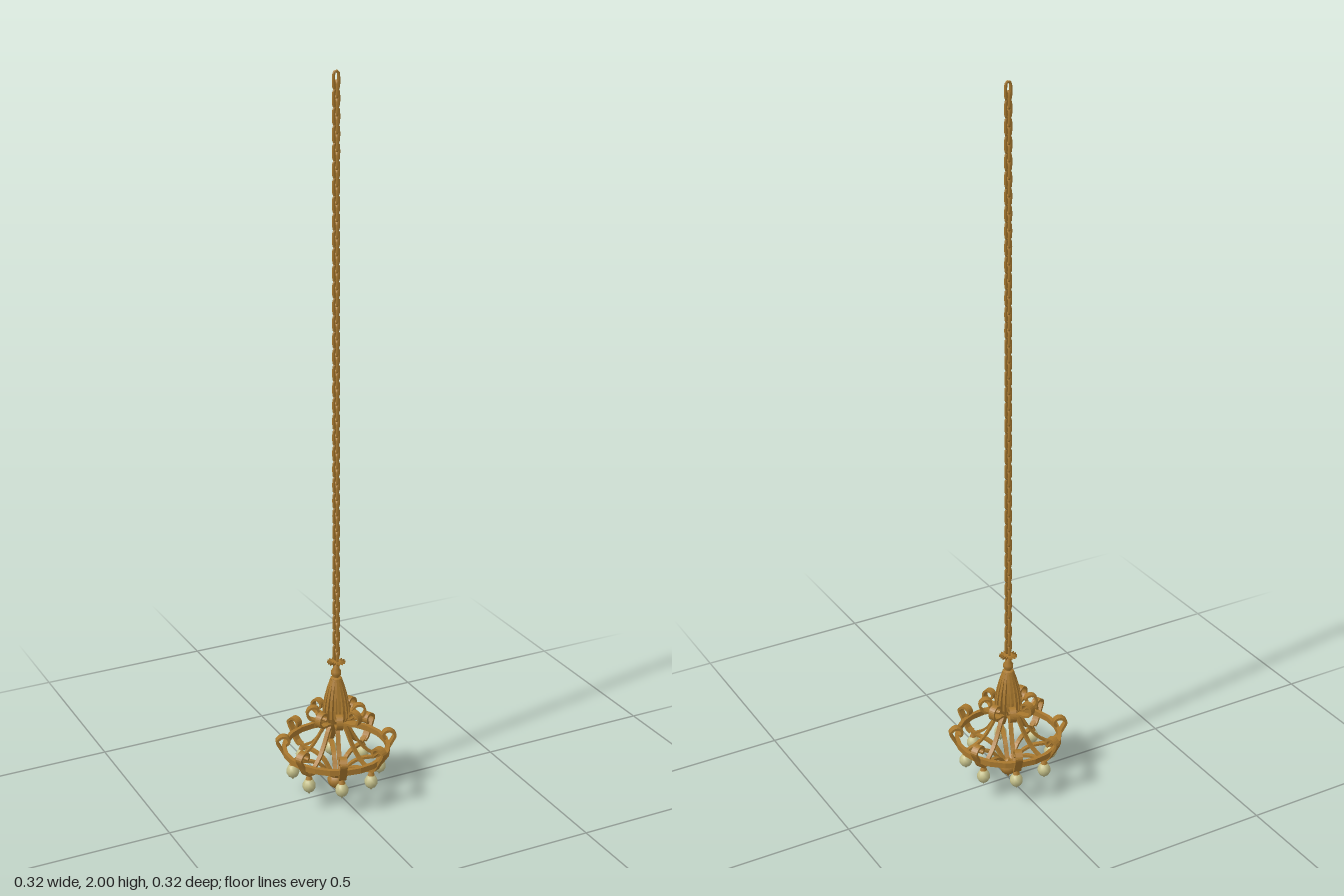
import * as THREE from 'three';

const bronze = new THREE.MeshStandardMaterial({ color: 0xa8782e });
bronze.name = 'bronze';
const glass = new THREE.MeshStandardMaterial({ color: 0xc4c08a });
glass.name = 'frosted glass';

const V = (x, y) => new THREE.Vector2(x, y);

function mesh(name, geometry, material = bronze) {
  const m = new THREE.Mesh(geometry, material);
  m.name = name;
  return m;
}

// Turned part; the profile runs from bottom to top
const turned = (pts, sides) => new THREE.LatheGeometry(pts.map(p => V(...p)), sides);

// Flat metal strap bent along a curve in the radius-height plane
function strap(points, thick, width, steps) {
  const curve = new THREE.SplineCurve(points.map(p => V(...p)));
  const a = [], b = [];
  for (let i = 0; i <= steps; i++) {
    const p = curve.getPointAt(i / steps), t = curve.getTangentAt(i / steps);
    a.push(V(p.x - t.y * thick / 2, p.y + t.x * thick / 2));
    b.unshift(V(p.x + t.y * thick / 2, p.y - t.x * thick / 2));
  }
  const g = new THREE.ExtrudeGeometry(new THREE.Shape([...a, ...b]), { depth: width, bevelEnabled: false });
  return g.translate(0, 0, -width / 2);
}

// Spiral end of a scroll, from angle a0 to a1 with a shrinking radius
function spiral(cx, cy, r0, r1, a0, a1, n = 8) {
  return Array.from({ length: n + 1 }, (_, i) => {
    const t = i / n, a = a0 + (a1 - a0) * t, r = r0 + (r1 - r0) * t;
    return [cx + r * Math.cos(a), cy + r * Math.sin(a)];
  });
}

// Chain link: a closed oval tube
function linkGeometry(length, halfWidth, tube) {
  const straight = length / 2 - halfWidth;
  const pts = [];
  for (let i = 0; i < 12; i++) {
    const a = (i + 0.5) / 12 * Math.PI * 2;
    pts.push(new THREE.Vector3(Math.cos(a) * halfWidth, Math.sin(a) * halfWidth + Math.sign(Math.sin(a)) * straight, 0));
  }
  return new THREE.TubeGeometry(new THREE.CatmullRomCurve3(pts, true), 16, tube, 6, true);
}

export function createModel() {
  const model = new THREE.Group();
  model.name = 'chandelier';

  // Hanging chain
  const chain = new THREE.Group();
  chain.name = 'chain';
  const wide = linkGeometry(0.046, 0.0064, 0.0038);
  const cross = linkGeometry(0.042, 0.006, 0.0038);
  const pairs = 36, pitch = 0.0441;
  for (let i = 0; i < pairs; i++) {
    const a = mesh('chainLink', wide), b = mesh('chainCrossLink', cross);
    a.position.y = 1.973 - i * pitch;
    b.position.y = a.position.y - pitch / 2;
    b.rotation.y = Math.PI / 2;
    chain.add(a, b);
  }
  model.add(chain);

  // Central hub with collar
  model.add(mesh('hub', turned([
    [0, 0.208], [0.014, 0.215], [0.024, 0.228], [0.026, 0.25], [0.023, 0.28],
    [0.017, 0.315], [0.011, 0.345], [0.009, 0.355], [0.014, 0.363], [0.014, 0.372],
    [0.009, 0.38], [0.008, 0.395], [0, 0.403]], 16)));

  // Pointed crown plate above the collar
  const star = Array.from({ length: 32 }, (_, i) => {
    const a = i / 16 * Math.PI, r = i % 2 ? 0.011 : 0.025;
    return V(r * Math.cos(a), r * Math.sin(a));
  });
  const crown = mesh('crownPlate', new THREE.ExtrudeGeometry(new THREE.Shape(star), { depth: 0.006, bevelEnabled: false })
    .rotateX(-Math.PI / 2));
  crown.position.y = 0.396;
  model.add(crown);

  // Vertical ribs around the hub
  const rib = new THREE.ExtrudeGeometry(new THREE.Shape([
    [0.005, 0.225], [0.03, 0.222], [0.038, 0.24], [0.037, 0.265], [0.032, 0.295],
    [0.024, 0.325], [0.015, 0.352], [0.005, 0.356]].map(p => V(...p))),
  { depth: 0.007, bevelEnabled: false }).translate(0, 0, -0.0035);
  for (let i = 0; i < 18; i++) {
    const m = mesh('hubRib', rib);
    m.rotation.y = i / 18 * Math.PI * 2;
    model.add(m);
  }

  // Bottom finial
  model.add(mesh('finial', turned([
    [0, 0], [0.004, 0.01], [0.009, 0.014], [0.019, 0.022], [0.024, 0.032],
    [0.024, 0.042], [0.018, 0.05], [0.012, 0.056], [0.006, 0.062], [0, 0.064]], 12)));

  // Flat-sided hoop joining the arms
  const hoop = turned([
    [0.139, 0.13], [0.15, 0.13], [0.15, 0.146], [0.139, 0.146], [0.139, 0.13]], 22).toNonIndexed();
  hoop.computeVertexNormals();
  model.add(mesh('hoop', hoop));

  // Shared arm pieces
  const upperScroll = strap([[0.012, 0.222], [0.028, 0.221], [0.045, 0.225],
    ...spiral(0.06, 0.25, 0.025, 0.008, -1.7, 4.2)], 0.006, 0.018, 34);
  const stay = strap([[0.016, 0.226], [0.034, 0.205], [0.052, 0.17], [0.07, 0.142],
    [0.09, 0.122], [0.112, 0.108]], 0.006, 0.012, 14);
  const lowerArm = strap([[0.012, 0.05], [0.026, 0.066], [0.045, 0.088], [0.075, 0.1], [0.11, 0.103],
    [0.137, 0.115]], 0.007, 0.012, 18);
  const outerScroll = strap([[0.125, 0.107], [0.137, 0.115], [0.151, 0.14],
    ...spiral(0.143, 0.165, 0.021, 0.008, 0, 4.2)], 0.007, 0.02, 34);
  const socket = new THREE.CylinderGeometry(0.006, 0.01, 0.01, 8);
  const bulb = turned([[0, 0.045], [0.004, 0.052], [0.013, 0.058], [0.018, 0.067],
    [0.018, 0.077], [0.013, 0.087], [0.006, 0.093], [0, 0.094]], 12);

  // Eight arms, each with scrolls and a lamp
  for (let i = 0; i < 8; i++) {
    const arm = new THREE.Group();
    arm.name = 'arm';
    const s = mesh('lampSocket', socket);
    s.position.set(0.121, 0.097, 0);
    const lamp = mesh('lamp', bulb, glass);
    lamp.position.x = 0.121;
    arm.add(mesh('upperScroll', upperScroll), mesh('stay', stay), mesh('lowerArm', lowerArm),
      mesh('outerScroll', outerScroll), s, lamp);
    arm.rotation.y = -(19.2 + i * 45) * Math.PI / 180;
    model.add(arm);
  }
  return model;
}
